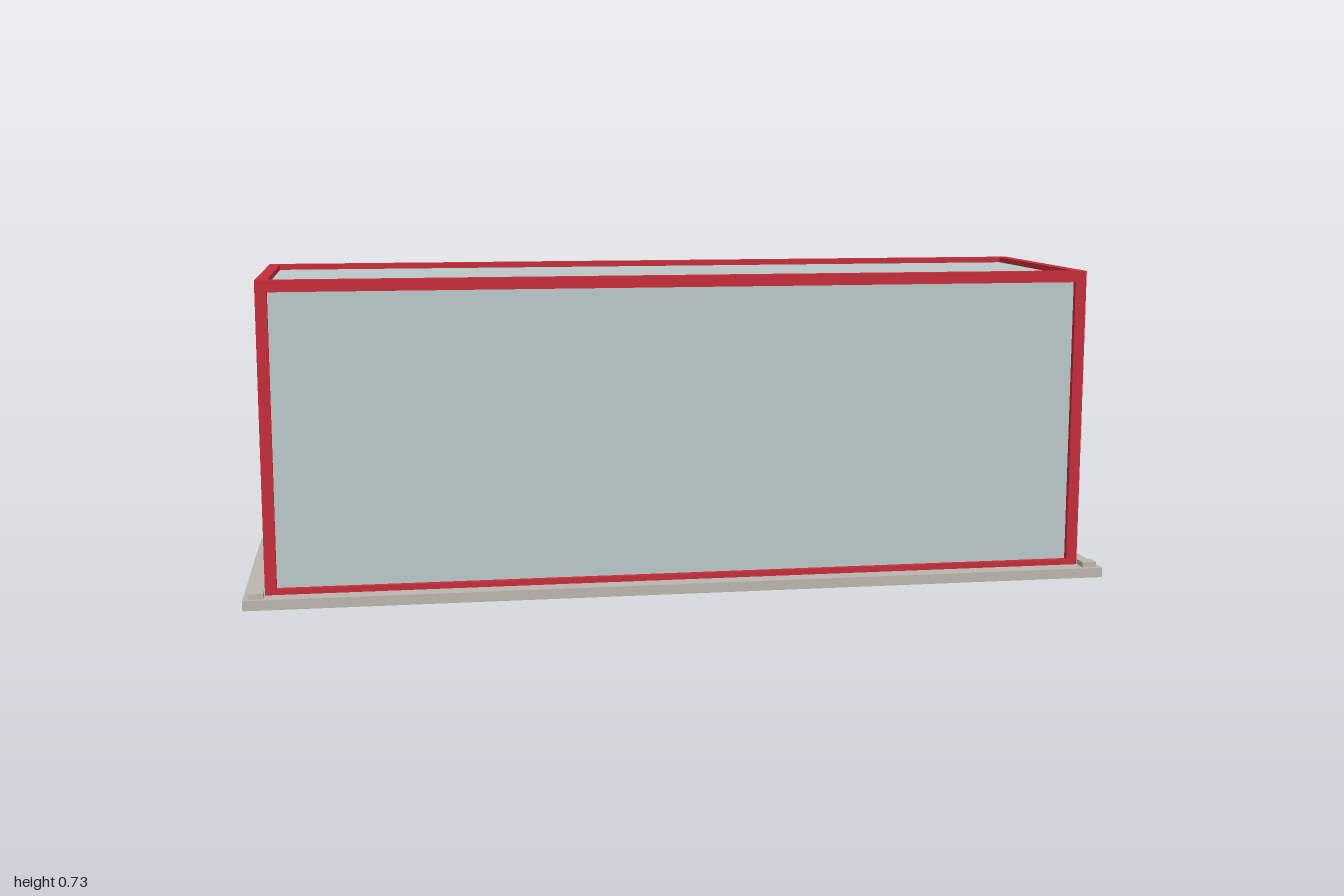
import * as THREE from 'three';

export function createModel() {
  const model = new THREE.Group();
  model.name = 'displayCase';

  const paint = (name, color) => {
    const m = new THREE.MeshStandardMaterial({ color });
    m.name = name;
    return m;
  };
  const stone = paint('stone grey', 0xbab5ad);
  const red = paint('frame red', 0xc62d3a);
  const glass = paint('pale glass', 0xbac8c7);

  const box = (parent, name, material, size, pos) => {
    const mesh = new THREE.Mesh(new THREE.BoxGeometry(...size), material);
    mesh.name = name;
    mesh.position.set(...pos);
    parent.add(mesh);
  };

  // Base slab with a small pad at each corner
  const baseTop = 0.023;
  box(model, 'baseSlab', stone, [2, baseTop, 0.64], [0, baseTop / 2, 0]);
  for (const sx of [-1, 1]) for (const sz of [-1, 1]) {
    box(model, 'cornerPad', stone, [0.034, 0.012, 0.034],
      [sx * 0.972, baseTop + 0.006, sz * 0.292]);
  }

  // Frame of square bars; the lower rails are half sunk in the slab
  const bar = 0.026;
  const X = 0.94, Z = 0.263, low = 0.023, high = 0.714;
  const frame = new THREE.Group();
  frame.name = 'frame';
  model.add(frame);
  for (const sz of [-1, 1]) {
    for (const y of [low, high]) {
      box(frame, 'longRail', red, [2 * X + bar, bar, bar], [0, y, sz * Z]);
    }
    for (const sx of [-1, 1]) {
      box(frame, 'cornerPost', red, [bar, high - low - bar, bar],
        [sx * X, (low + high) / 2, sz * Z]);
    }
  }
  for (const sx of [-1, 1]) for (const y of [low, high]) {
    box(frame, 'endRail', red, [bar, bar, 2 * Z - bar], [sx * X, y, 0]);
  }

  // Panels, recessed to the middle of the bars
  const t = 0.006, h = high - low, midY = (low + high) / 2;
  for (const s of [-1, 1]) {
    box(model, 'sidePanel', glass, [2 * X, h, t], [0, midY, s * (Z - t / 2)]);
    box(model, 'endPanel', glass, [t, h, 2 * Z], [s * (X - t / 2), midY, 0]);
  }
  box(model, 'topPanel', glass, [2 * X, t, 2 * Z], [0, high - t / 2, 0]);

  return model;
}
